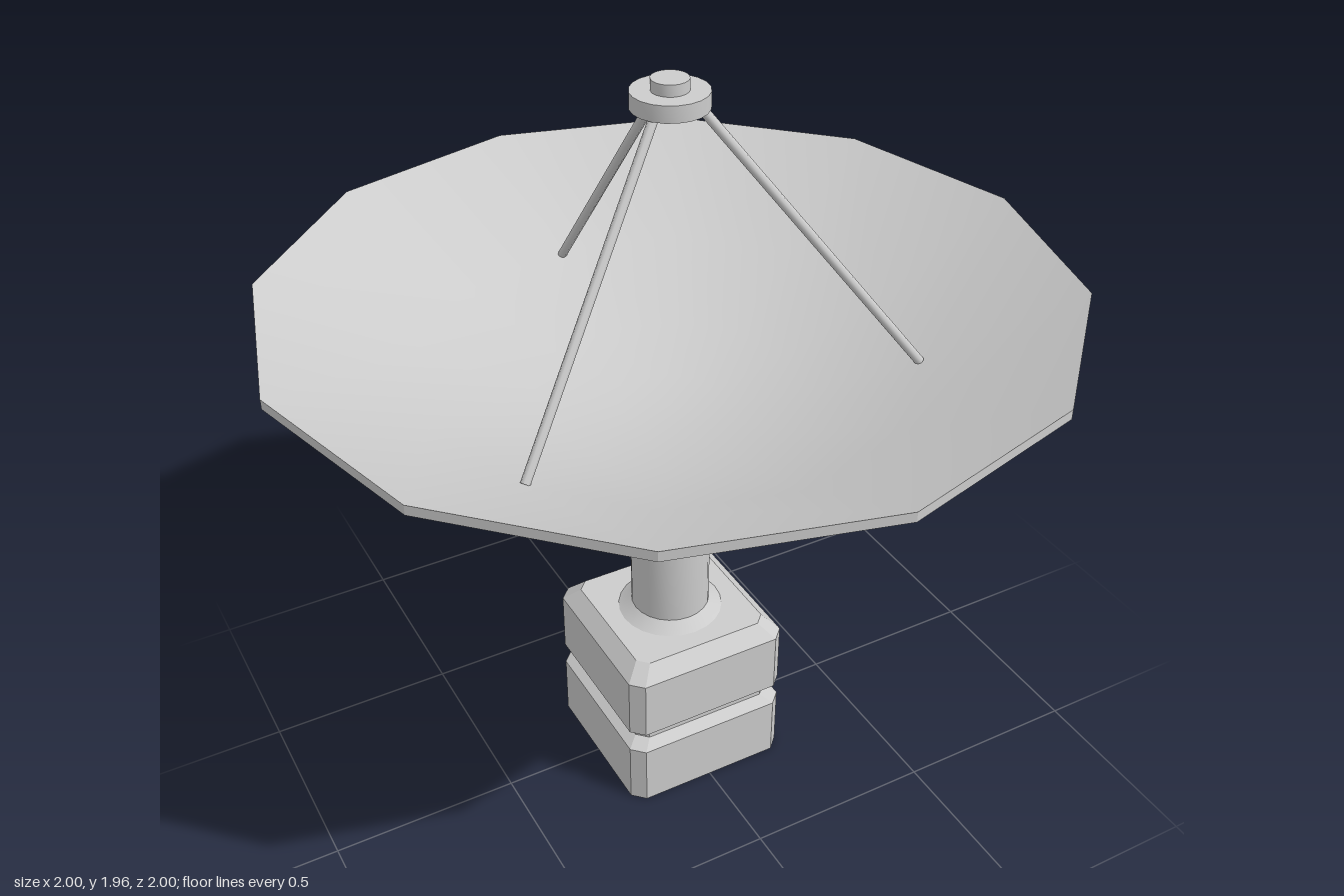
import * as THREE from 'three';
import { toCreasedNormals } from 'three/addons/utils/BufferGeometryUtils.js';

const smooth = new THREE.MeshStandardMaterial({ color: 0xcccccc });
const flat = new THREE.MeshStandardMaterial({ color: 0xcccccc, flatShading: true });

export function createModel() {
  const model = new THREE.Group();

  const add = (name, geometry, material = smooth, parent = model) => {
    const mesh = new THREE.Mesh(geometry, material);
    mesh.name = name;
    parent.add(mesh);
    return mesh;
  };
  // Turned part from [radius, y] pairs
  const turned = (profile, sides, crease = 0.5) => toCreasedNormals(
    new THREE.LatheGeometry(profile.map(([r, y]) => new THREE.Vector2(r, y)), sides), crease);
  // Eight-sided bar along z with flat top and sides
  const octagonBar = (apothem, length, y, z) => {
    const r = apothem / Math.cos(Math.PI / 8);
    return new THREE.CylinderGeometry(r, r, length, 8)
      .rotateY(Math.PI / 8).rotateX(Math.PI / 2).translate(0, y, z);
  };

  // Base: square plan with cut corners, grooved around the middle
  const baseProfile = [[0, 0], [0.23, 0], [0.23, 0.175], [0.2, 0.195], [0.2, 0.215],
    [0.23, 0.24], [0.23, 0.41], [0.19, 0.45], [0, 0.45]];
  const a = 0.86;
  const plan = [[a, 1], [1, a], [1, -a], [a, -1], [-a, -1], [-1, -a], [-1, a], [-a, 1]];
  const base = new THREE.LatheGeometry(baseProfile.map(([r, y]) => new THREE.Vector2(r, y)), 8);
  const bp = base.attributes.position;
  for (let i = 0; i < bp.count; i++) {
    const [px, pz] = plan[Math.floor(i / baseProfile.length) % 8];
    const half = baseProfile[i % baseProfile.length][0];
    bp.setX(i, px * half);
    bp.setZ(i, pz * half);
  }
  add('base', base, flat);

  // Column with foot collar and top flange
  add('column', turned([[0, 0.445], [0.14, 0.45], [0.108, 0.472], [0.105, 0.475], [0.105, 0.72],
    [0.135, 0.72], [0.142, 0.727], [0.142, 0.758], [0.135, 0.766], [0, 0.766]], 24));

  // Pivot bracket: two legs joined above, waisted towards the feet
  const pivot = new THREE.Group();
  pivot.name = 'pivot';
  model.add(pivot);
  const side = [[0.135, 0.765], [0.135, 0.845], [0.11, 0.9], [0.11, 0.98]];
  const inner = [[0.085, 0.845], [0.085, 0.765]];
  const mirror = (pts) => pts.map(([z, y]) => [-z, y]).reverse();
  const outline = [...side, ...mirror(side), ...mirror(inner), ...inner];
  const bracket = new THREE.ExtrudeGeometry(
    new THREE.Shape(outline.map(([z, y]) => new THREE.Vector2(z, y))),
    { depth: 2, bevelEnabled: false }).translate(0, 0, -1).rotateY(-Math.PI / 2);
  const kp = bracket.attributes.position;
  for (let i = 0; i < kp.count; i++) {
    kp.setX(i, Math.sign(kp.getX(i)) * (kp.getY(i) < 0.87 ? 0.034 : 0.052));
  }
  add('bracket', bracket, flat, pivot);

  // Sloped gusset between the legs
  const gusset = new THREE.BoxGeometry(0.16, 0.085, 0.17).translate(0, 0.8075, 0);
  const gp = gusset.attributes.position;
  for (let i = 0; i < gp.count; i++) {
    if (gp.getY(i) > 0.8) {
      gp.setX(i, gp.getX(i) * 0.3);
      gp.setZ(i, gp.getZ(i) * 0.5);
    }
  }
  add('gusset', gusset, flat, pivot);

  // Hinge barrel, end caps and the lugs that carry the dish
  add('hingeBarrel', octagonBar(0.06, 0.24, 0.957, 0), flat, pivot);
  for (const s of [-1, 1]) add('hingeCap', octagonBar(0.067, 0.06, 0.965, s * 0.14), flat, pivot);
  for (const z of [-0.122, 0, 0.122]) {
    add('dishLug', new THREE.BoxGeometry(0.05, 0.1, 0.075).translate(0, 1.04, z), flat, pivot);
  }

  // Twelve-sided dish shell, outside then rim then inside
  add('dish', turned([[0, 1.07], [0.13, 1.075], [0.34, 1.11], [0.635, 1.21], [1, 1.4], [1, 1.425],
    [0.625, 1.235], [0.335, 1.135], [0.13, 1.1], [0, 1.095]], 12));

  // Three struts holding the feed above the dish
  for (let i = 0; i < 3; i++) {
    const angle = Math.PI + i * Math.PI * 2 / 3;
    const at = (r, y) => new THREE.Vector3(Math.sin(angle) * r, y, Math.cos(angle) * r);
    add('feedStrut', new THREE.TubeGeometry(
      new THREE.LineCurve3(at(0.61, 1.23), at(0.06, 1.895)), 1, 0.012, 8));
  }

  // Feed hub
  add('feedHub', turned([[0, 1.886], [0.093, 1.886], [0.093, 1.927], [0.045, 1.927],
    [0.045, 1.955], [0, 1.955]], 20));

  return model;
}
